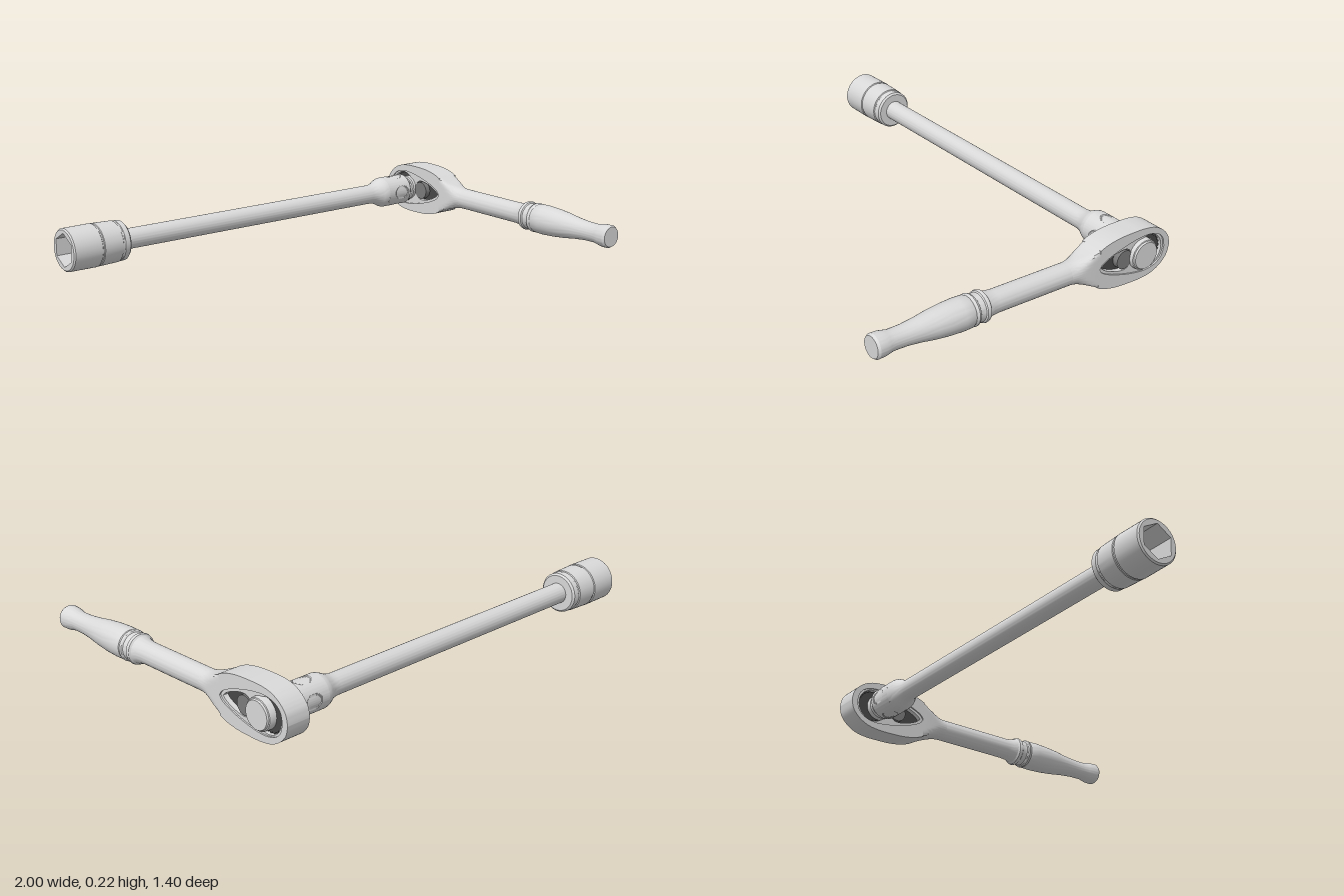
import * as THREE from 'three';
import { toCreasedNormals } from 'three/addons/utils/BufferGeometryUtils.js';

const CY = 0.113;   // height of all axes
const CZ = -0.557;  // z of the drive axis
const HX = 0.926;   // x of the ratchet handle
const HALF = 0.0535; // half thickness of the ratchet head

export function createModel() {
  const steel = new THREE.MeshStandardMaterial({ color: 0xd9d9d9 });
  steel.name = 'steel';
  const dark = new THREE.MeshStandardMaterial({ color: 0x484848 });
  dark.name = 'dark mechanism';
  const mid = new THREE.MeshStandardMaterial({ color: 0x7c7c7c });
  mid.name = 'grey lever';

  const model = new THREE.Group();
  model.name = 'ratchetWrench';

  function add(name, geo, mat = steel, crease = 0.5) {
    const m = new THREE.Mesh(toCreasedNormals(geo, crease), mat);
    m.name = name;
    model.add(m);
  }
  // profile entries are [position along axis, radius]
  const lathe = (pts, seg = 48) =>
    new THREE.LatheGeometry(pts.map(([a, r]) => new THREE.Vector2(r, a)), seg);
  const alongX = (pts, seg) => lathe(pts, seg).rotateZ(-Math.PI / 2).translate(0, CY, CZ);

  // ---- socket with hexagonal opening ----
  add('socket', alongX([
    [-1, 0.086], [-0.994, 0.092], [-0.868, 0.093], [-0.865, 0.089], [-0.859, 0.089],
    [-0.856, 0.092], [-0.768, 0.089], [-0.765, 0.085], [-0.759, 0.085], [-0.756, 0.087],
    [-0.733, 0.086], [-0.725, 0.078], [-0.725, 0.03]]));
  const hex = Array.from({ length: 6 }, (_, i) =>
    new THREE.Vector2(0.073 * Math.sin(i * Math.PI / 3), 0.073 * Math.cos(i * Math.PI / 3)));
  const face = new THREE.Shape().absarc(0, 0, 0.086, 0, Math.PI * 2);
  face.holes.push(new THREE.Path(hex));
  add('socketRim', new THREE.ShapeGeometry(face, 24).rotateY(-Math.PI / 2).translate(-1, CY, CZ));
  const bore = new THREE.CylinderGeometry(0.073, 0.073, 0.14, 6, 1, true, Math.PI / 6);
  bore.index.array.reverse(); // faces the inside
  add('socketBore', bore.rotateZ(-Math.PI / 2).translate(-0.93, CY, CZ), steel, 0.1);
  add('socketFloor', new THREE.CircleGeometry(0.08, 24).rotateY(-Math.PI / 2).translate(-0.862, CY, CZ));

  // ---- extension bar ----
  add('extensionBar', alongX([[-0.75, 0.044], [0.62, 0.044], [0.64, 0.046],
    [0.66, 0.052], [0.68, 0.063], [0.692, 0.068], [0.705, 0.07]]));
  // drive end with four shallow oval dimples pressed into its side
  const endPts = [];
  for (let x = 0.705; x < 0.829; x += 0.004) endPts.push([x, 0.07]);
  endPts.push([0.832, 0.07], [0.839, 0.064], [0.839, 0]);
  const end = lathe(endPts, 96);
  const p = end.attributes.position;
  for (let i = 0; i < p.count; i++) {
    const x = p.getX(i), y = p.getY(i), z = p.getZ(i);
    const side = Math.min(Math.abs(x), Math.abs(z));
    if (Math.hypot((y - 0.78) / 0.038, side / 0.03) < 1) {
      p.setX(i, x * 0.96);
      p.setZ(i, z * 0.96);
    }
  }
  add('extensionDriveEnd', end.rotateZ(-Math.PI / 2).translate(0, CY, CZ));

  // ---- square drive and its collar ----
  add('squareDrive', new THREE.BoxGeometry(0.1, 0.064, 0.064).translate(0.87, CY, CZ));
  add('driveCollar', alongX([[0.86, 0], [0.86, 0.051], [0.865, 0.056], [0.92, 0.056]]));

  // ---- ratchet handle ----
  add('handle', lathe([
    [-0.2, 0.047], [0.15, 0.047], [0.18, 0.05], [0.2, 0.056], [0.206, 0.063], [0.214, 0.065],
    [0.222, 0.063], [0.226, 0.058], [0.25, 0.058], [0.254, 0.063], [0.262, 0.066],
    [0.27, 0.063], [0.274, 0.062], [0.28, 0.065], [0.32, 0.066], [0.38, 0.063], [0.44, 0.057],
    [0.5, 0.048], [0.56, 0.042], [0.62, 0.041], [0.64, 0.045], [0.66, 0.049],
    [0.69, 0.05], [0.7, 0.044], [0.7, 0]]).rotateX(Math.PI / 2).translate(HX, CY, 0));

  // neck: round section growing into the flat slab of the head
  const RINGS = 14, SEG = 64, pos = [], idx = [];
  for (let i = 0; i <= RINGS; i++) {
    const s = i / RINGS;
    const h = 0.047 + 0.036 * s * s;
    const t = 0.047 + (HALF - 0.047) * Math.sin(s * Math.PI / 2);
    const n = 2 + 14 * s * s * s;
    for (let j = 0; j < SEG; j++) {
      const a = j / SEG * Math.PI * 2, c = Math.cos(a), d = Math.sin(a);
      const r = (Math.abs(c / t) ** n + Math.abs(d / h) ** n) ** (-1 / n);
      pos.push(HX + r * c, CY + r * d, -0.2 - 0.13 * s);
      if (i < RINGS) {
        const A = i * SEG + j, B = i * SEG + (j + 1) % SEG;
        idx.push(A, A + SEG, B, B, A + SEG, B + SEG);
      }
    }
  }
  const neck = new THREE.BufferGeometry();
  neck.setAttribute('position', new THREE.Float32BufferAttribute(pos, 3));
  neck.setIndex(idx);
  add('neck', neck);

  // ---- ratchet head, drawn in (-z, y) and extruded along x ----
  // closes an upper half outline into a counter-clockwise loop
  const mirrored = (half, n) => {
    const up = new THREE.SplineCurve(half.map(([u, v]) => new THREE.Vector2(u, v))).getPoints(n);
    const down = up.filter((q) => q.y > 1e-4).reverse().map((q) => new THREE.Vector2(q.x, -q.y));
    return up.concat(down).reverse();
  };
  const slab = (pts, holes, depth) => {
    const s = new THREE.Shape(pts);
    s.holes = holes.map((h) => new THREE.Path(h));
    return new THREE.ExtrudeGeometry(s, { depth, bevelEnabled: false })
      .translate(0, 0, -depth / 2).rotateY(Math.PI / 2).translate(HX, CY, 0);
  };
  const ring = (count, radius) => Array.from({ length: count }, (_, i) => {
    const a = i / count * Math.PI * 2, r = radius(i);
    return new THREE.Vector2(0.589 + r * Math.cos(a), r * Math.sin(a));
  });
  const outline = mirrored([[0.33, 0.083], [0.37, 0.098], [0.43, 0.109], [0.5, 0.112],
    [0.56, 0.111], [0.615, 0.101], [0.66, 0.076], [0.69, 0.041], [0.7, 0]], 48);
  const recess = mirrored([[0.332, 0], [0.345, 0.018], [0.38, 0.037], [0.43, 0.054], [0.48, 0.067],
    [0.53, 0.076], [0.58, 0.079], [0.63, 0.068], [0.662, 0.04], [0.672, 0]], 40);
  const leaf = mirrored([[0.345, 0], [0.36, 0.014], [0.39, 0.029], [0.43, 0.042],
    [0.47, 0.045], [0.495, 0.03], [0.503, 0]], 30);
  add('head', slab(outline, [recess], HALF * 2));
  add('coverPlate', slab(recess, [leaf, ring(64, () => 0.072)], 0.094));
  add('mechanismFloor', slab(recess, [], 0.05), dark);

  // toothed ring around the drive
  add('gear', slab(ring(96, (i) => (i % 4 < 2 ? 0.071 : 0.065)), [], 0.07), dark);

  // reversing lever beside the drive
  add('reverseLever', new THREE.CylinderGeometry(0.04, 0.04, 0.1, 32)
    .rotateZ(-Math.PI / 2).translate(HX, CY, -0.465), mid);

  // round release button on the outer side
  add('releaseButton', alongX([[0.92, 0.066], [0.985, 0.066], [0.991, 0.064],
    [0.993, 0.06], [1, 0.057], [1, 0]]));

  return model;
}
